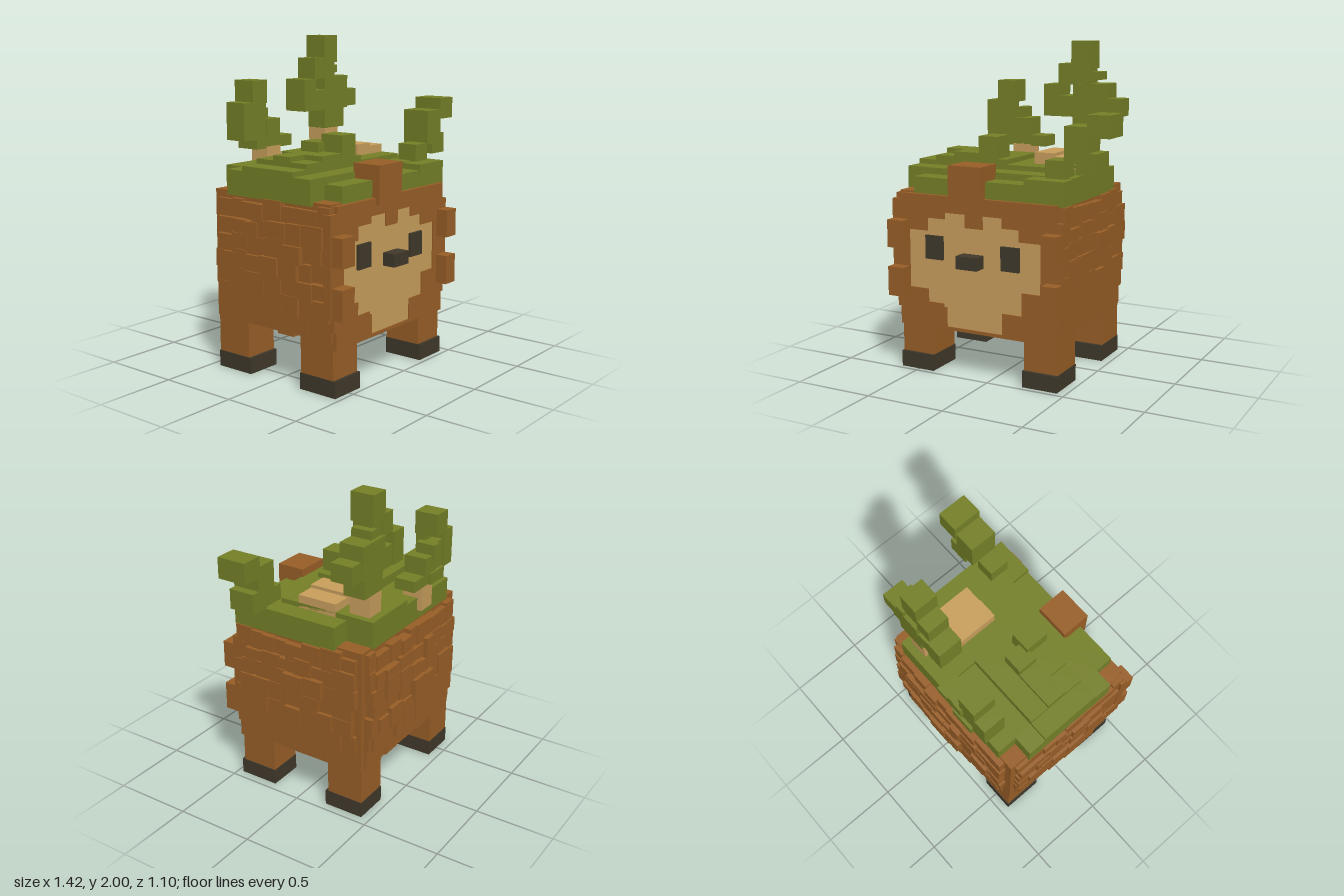
import * as THREE from 'three';

const mat = (name, color) => {
  const m = new THREE.MeshStandardMaterial({ color });
  m.name = name;
  return m;
};

export function createModel() {
  const brown = mat('bark brown', 0x995f27);
  const tan = mat('pale wood', 0xc99f5d);
  const green = mat('leaf green', 0x758027);
  const dark = mat('dark horn', 0x40392b);
  const root = new THREE.Group();
  root.name = 'blockCreature';

  let seed = 7;
  const rand = () => (seed = (seed * 16807) % 2147483647) / 2147483647;

  const group = (name) => {
    const g = new THREE.Group();
    g.name = name;
    root.add(g);
    return g;
  };
  // Box given by its two extremes on each axis
  const box = (parent, name, m, x0, x1, y0, y1, z0, z1) => {
    const mesh = new THREE.Mesh(new THREE.BoxGeometry(x1 - x0, y1 - y0, z1 - z0), m);
    mesh.position.set((x0 + x1) / 2, (y0 + y1) / 2, (z0 + z1) / 2);
    mesh.name = name;
    parent.add(mesh);
  };
  const boxes = (parent, name, m, list) => list.forEach((b) => box(parent, name, m, ...b));

  // Body core, with a smaller belly stepped in below
  const body = group('body');
  box(body, 'bodyCore', brown, -0.63, 0.45, 0.33, 1.11, -0.44, 0.44);
  box(body, 'belly', brown, -0.53, 0.35, 0.28, 0.34, -0.34, 0.45);

  // Shingles on the two sides and the back, bulging towards the middle
  const rows = [0.33, 0.46, 0.57, 0.67, 0.77, 0.87, 0.97, 1.08];
  const bulge = [0.15, 0.75, 0.95, 1, 1, 0.85, 0.6];
  const shingles = (name, from, to, round, place) => {
    const g = group(name);
    for (let r = 0; r < bulge.length; r++) {
      let a = from + rand() * 0.03;
      while (a < to - 0.03) {
        const b = Math.min(to, a + 0.08 + rand() * 0.07);
        const u = ((a + b) / 2 - (from + to) / 2) / ((to - from) / 2);
        const out = 0.012 + bulge[r] * (1 - u * u * round) * (0.6 + rand() * 0.4);
        place(g, a, b, rows[r] - rand() * 0.02, rows[r + 1] + (rand() - 0.5) * 0.04, out);
        a = b;
      }
    }
  };
  shingles('leftShingles', -0.42, 0.45, 0.55, (g, a, b, y0, y1, t) =>
    box(g, 'shingle', brown, 0.42, 0.45 + t * 0.08, y0, y1, a, b));
  shingles('rightShingles', -0.42, 0.45, 0.55, (g, a, b, y0, y1, t) =>
    box(g, 'shingle', brown, -0.63 - t * 0.08, -0.6, y0, y1, a, b));
  shingles('backShingles', -0.59, 0.42, 0.6, (g, a, b, y0, y1, t) =>
    box(g, 'shingle', brown, a, b, y0, y1, -0.445 - t * 0.105, -0.42));

  // Face plate with a stepped edge, set in a matching brown frame
  const face = group('face');
  const outline = [
    [-0.55, 0.52], [-0.42, 0.52], [-0.42, 0.44], [-0.31, 0.44], [-0.31, 0.42], [-0.29, 0.42],
    [-0.29, 0.3], [0.09, 0.3], [0.09, 0.43], [0.22, 0.43], [0.22, 0.57], [0.34, 0.57],
    [0.34, 0.87], [0.2, 0.87], [0.2, 0.94], [0.09, 0.94], [0.09, 1.0], [-0.04, 1.0],
    [-0.04, 0.92], [-0.16, 0.92], [-0.16, 1.0], [-0.3, 1.0], [-0.3, 0.96], [-0.42, 0.96],
    [-0.42, 0.88], [-0.55, 0.88],
  ].map(([x, y]) => new THREE.Vector2(x, y));
  const frameShape = new THREE.Shape([
    [-0.62, 0.28], [0.44, 0.28], [0.44, 0.4], [0.46, 0.4], [0.46, 0.48], [0.48, 0.48],
    [0.48, 1.0], [0.44, 1.0], [0.44, 1.1], [-0.61, 1.1], [-0.61, 1.06], [-0.67, 1.06],
    [-0.67, 0.47], [-0.64, 0.47], [-0.64, 0.39], [-0.62, 0.39],
  ].map(([x, y]) => new THREE.Vector2(x, y)));
  frameShape.holes.push(new THREE.Path(outline));
  const slab = (name, shape, m, z, depth) => {
    const mesh = new THREE.Mesh(new THREE.ExtrudeGeometry(shape, { depth, bevelEnabled: false }), m);
    mesh.position.z = z;
    mesh.name = name;
    face.add(mesh);
  };
  slab('facePlate', new THREE.Shape(outline), tan, 0.42, 0.045);
  slab('faceFrame', frameShape, brown, 0.42, 0.052);
  boxes(face, 'eye', dark, [
    [-0.43, -0.31, 0.71, 0.855, 0.46, 0.482],
    [0.085, 0.205, 0.69, 0.835, 0.46, 0.482],
  ]);
  box(face, 'nose', dark, -0.177, -0.037, 0.687, 0.765, 0.46, 0.55);
  for (const [x0, x1] of [[-0.66, -0.55], [0.38, 0.48]]) {
    box(face, 'upperCheek', brown, x0, x1, 0.77, 0.94, 0.45, 0.547);
    box(face, 'lowerCheek', brown, x0, x1, 0.47, 0.65, 0.45, 0.547);
  }
  box(face, 'browTuft', brown, -0.257, -0.035, 1.06, 1.29, 0.31, 0.497);

  // Legs and dark hooves
  for (const x of [-0.51, 0.332]) {
    for (const front of [true, false]) {
      const leg = group(front ? 'frontLeg' : 'backLeg');
      const [z0, z1] = front ? [0.21, 0.45] : [-0.44, -0.2];
      box(leg, 'shank', brown, x - 0.11, x + 0.11, 0.05, 0.36, z0, z1);
      box(leg, 'hoof', dark, x - 0.114, x + 0.114, 0, 0.1, z0 - 0.003, z1 + 0.017);
    }
  }

  // Stepped mossy cap
  boxes(group('mossCap'), 'mossSlab', green, [
    [-0.53, 0.475, 1.09, 1.2, -0.27, 0.445],
    [0.22, 0.475, 1.09, 1.235, 0.19, 0.448],
    [-0.53, 0.35, 1.1, 1.24, -0.45, 0.19],
    [-0.655, -0.5, 1.09, 1.24, -0.32, 0.315],
    [-0.53, 0.475, 1.1, 1.24, -0.27, 0.32],
    [-0.655, -0.03, 1.2, 1.27, -0.2, 0.19],
    [-0.03, 0.35, 1.2, 1.27, -0.45, 0.19],
    [-0.53, -0.03, 1.2, 1.3, -0.2, 0.19],
    [-0.53, -0.15, 1.24, 1.33, -0.07, 0.06],
    [-0.4, -0.15, 1.24, 1.33, -0.07, 0.19],
    [-0.28, -0.15, 1.27, 1.39, -0.07, 0.06],
    [-0.22, -0.09, 1.27, 1.435, 0.04, 0.195],
  ]);
  boxes(group('barePatch'), 'woodSlab', tan, [
    [0.095, 0.225, 1.24, 1.34, -0.195, 0.065],
    [0.225, 0.35, 1.24, 1.32, -0.195, 0.065],
  ]);

  // Tall tree at the back left
  const tall = group('tallTree');
  box(tall, 'trunk', tan, 0.185, 0.31, 1.22, 1.41, -0.4, -0.265);
  boxes(tall, 'foliage', green, [
    [0.18, 0.305, 1.83, 2.0, -0.415, -0.265],
    [0.09, 0.195, 1.73, 1.86, -0.41, -0.27],
    [0.19, 0.3, 1.72, 1.84, -0.4, -0.28],
    [0.29, 0.35, 1.76, 1.81, -0.43, -0.3],
    [-0.01, 0.1, 1.53, 1.73, -0.425, -0.27],
    [0.09, 0.42, 1.53, 1.66, -0.415, -0.27],
    [0.19, 0.42, 1.64, 1.74, -0.425, -0.27],
    [0.41, 0.51, 1.54, 1.65, -0.41, -0.27],
    [0.19, 0.38, 1.41, 1.54, -0.41, -0.27],
  ]);

  // Leaning bush at the front left
  boxes(group('leaningBush'), 'foliage', green, [
    [0.57, 0.71, 1.48, 1.61, 0.17, 0.36],
    [0.43, 0.575, 1.33, 1.54, 0.18, 0.36],
    [0.5, 0.63, 1.265, 1.39, 0.18, 0.35],
    [0.31, 0.435, 1.2, 1.34, 0.225, 0.355],
  ]);

  // Small tree at the back right
  const small = group('smallTree');
  box(small, 'trunk', tan, -0.275, -0.15, 1.16, 1.33, -0.48, -0.35);
  boxes(small, 'foliage', green, [
    [-0.39, -0.265, 1.6, 1.74, -0.505, -0.355],
    [-0.47, -0.365, 1.38, 1.61, -0.5, -0.355],
    [-0.37, -0.27, 1.38, 1.56, -0.49, -0.36],
    [-0.37, -0.27, 1.56, 1.61, -0.42, -0.36],
    [-0.28, -0.22, 1.48, 1.565, -0.515, -0.39],
    [-0.27, -0.15, 1.38, 1.5, -0.5, -0.355],
    [-0.36, -0.2, 1.32, 1.39, -0.51, -0.355],
    [-0.26, -0.04, 1.32, 1.39, -0.49, -0.355],
  ]);

  return root;
}
